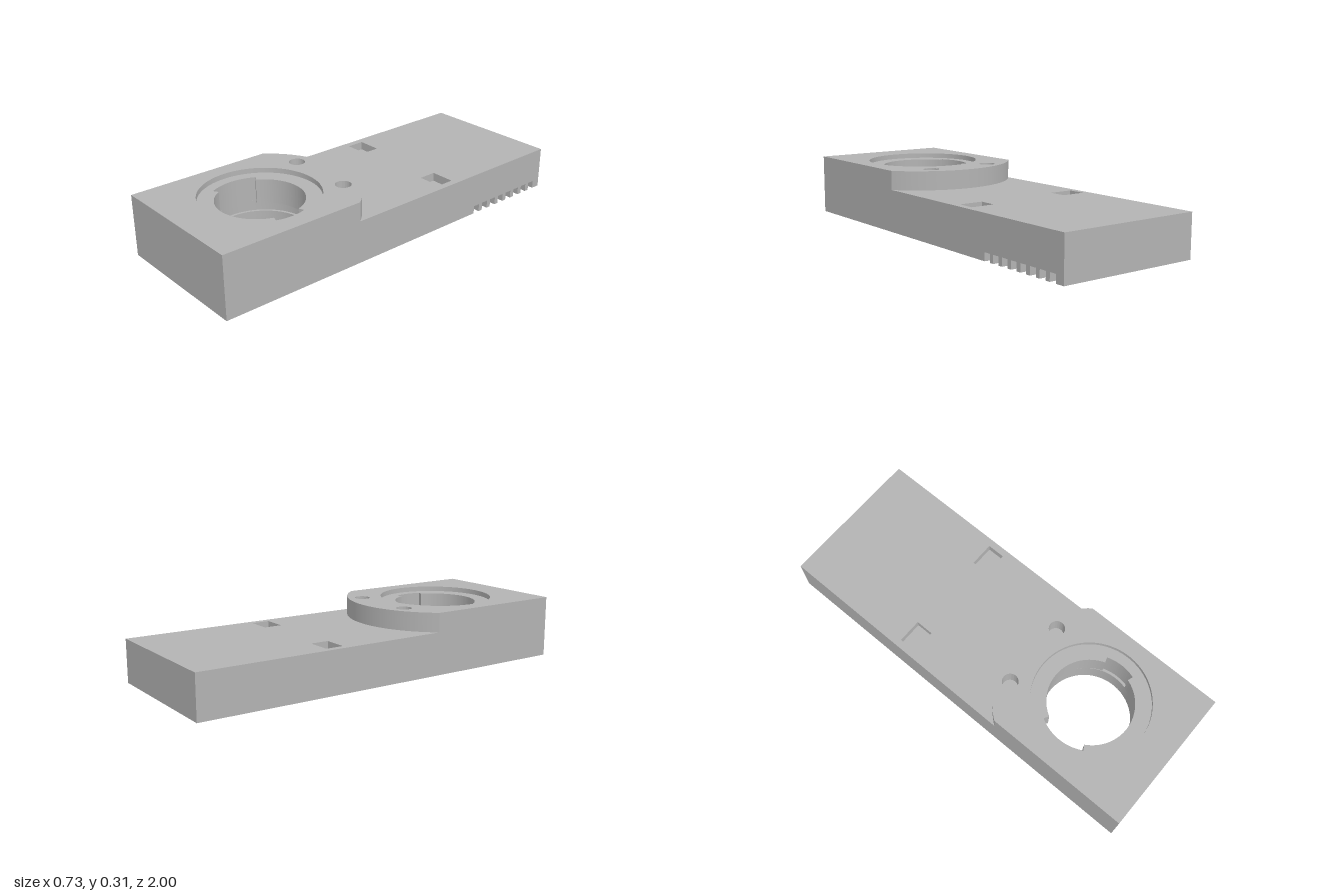
import * as THREE from 'three';
import { toCreasedNormals } from 'three/addons/utils/BufferGeometryUtils.js';

const W = 0.365, L = 1, WALL = 0.06;   // half width, half length, rim thickness
const CY = -0.555;                     // socket centre in plan (plan y = -z)
const R_BORE = 0.222, R_LIP = 0.207, R_SLOT = 0.235, R_SEAT = 0.285, R_STEP = 0.46;
const rad = THREE.MathUtils.degToRad;

function polygon(points, Type = THREE.Shape) {
  return new Type(points.map(([x, z]) => new THREE.Vector2(x, -z)));
}
function rect(x0, z0, x1, z1, Type) {
  return polygon([[x0, z1], [x1, z1], [x1, z0], [x0, z0]], Type);
}
function circle(x, y, r, Type = THREE.Path) {
  return new Type().absarc(x, y, r, 0, Math.PI * 2, false);
}

// Round hole with a wide and a narrow bayonet notch
function bayonetHole() {
  const wide = rad(30), narrow = rad(19), pi = Math.PI;
  return new THREE.Path()
    .absarc(0, CY, R_LIP, narrow, pi - wide, false)
    .absarc(0, CY, R_SLOT, pi - wide, pi + wide, false)
    .absarc(0, CY, R_LIP, pi + wide, 2 * pi - narrow, false)
    .absarc(0, CY, R_SLOT, 2 * pi - narrow, 2 * pi + narrow, false);
}

// Outline of the raised end with its curved step
function raisedOutline() {
  const a = Math.acos(W / R_STEP);
  const s = new THREE.Shape();
  s.moveTo(-W, -L);
  s.lineTo(W, -L);
  s.absarc(0, CY, R_STEP, a, Math.PI - a, false);
  s.closePath();
  return s;
}

export function createModel() {
  const group = new THREE.Group();
  const grey = new THREE.MeshStandardMaterial({ color: 0xb3b3b3 });
  grey.name = 'grey';

  // Extrude a plan shape between two heights
  function layer(name, shape, y0, y1, holes = []) {
    shape.holes.push(...holes);
    const geo = new THREE.ExtrudeGeometry(shape, { depth: y1 - y0, bevelEnabled: false, curveSegments: 48 });
    geo.rotateX(-Math.PI / 2);
    geo.translate(0, y0, 0);
    const mesh = new THREE.Mesh(toCreasedNormals(geo, rad(30)), grey);
    mesh.name = name;
    group.add(mesh);
  }
  const body = () => rect(-W, -L, W, L);
  const ix = W - WALL, iz = L - WALL;

  // Lower rim, left open where the vent slots are
  const ventStart = -0.49, pitch = 0.061, slot = 0.037, count = 8;
  const ventEnd = ventStart - pitch * (count - 1) - slot;
  layer('lowerRim', polygon([
    [W, ventStart], [W, L], [-W, L], [-W, -L], [W, -L], [W, ventEnd],
    [ix, ventEnd], [ix, -iz], [-ix, -iz], [-ix, iz], [ix, iz], [ix, ventStart],
  ]), 0, 0.04);
  for (let i = 0; i < count - 1; i++) {
    const z1 = ventStart - slot - i * pitch;
    layer('ventTooth', rect(ix, z1 - (pitch - slot), W, z1), 0, 0.04);
  }
  layer('upperRim', body(), 0.04, 0.08, [rect(-ix, -iz, ix, iz, THREE.Path)]);

  // Socket tube in the underside cavity
  layer('socketTube', circle(0, CY, R_SEAT, THREE.Shape), 0, 0.08, [circle(0, CY, R_BORE)]);

  // Solid body: bore, turning channel, then notched lip
  layer('cavityCeiling', body(), 0.08, 0.11, [circle(0, CY, R_BORE)]);
  layer('channelLayer', body(), 0.11, 0.16, [circle(0, CY, R_SLOT)]);
  layer('lipLayer', body(), 0.16, 0.17, [bayonetHole()]);
  const pockets = [-1, 1].map(s => rect(s * 0.27 - 0.061, -0.35, s * 0.27 + 0.061, -0.26, THREE.Path));
  layer('deckWithPockets', body(), 0.17, 0.212, [bayonetHole(), ...pockets]);

  // Raised end with screw holes and a shallow round seat
  const screwHoles = () => [-1, 1].map(s => circle(s * 0.173, -0.21, 0.039));
  layer('raisedEnd', raisedOutline(), 0.212, 0.282, [bayonetHole(), ...screwHoles()]);
  layer('raisedTop', raisedOutline(), 0.282, 0.307, [circle(0, CY, R_SEAT), ...screwHoles()]);

  return group;
}
